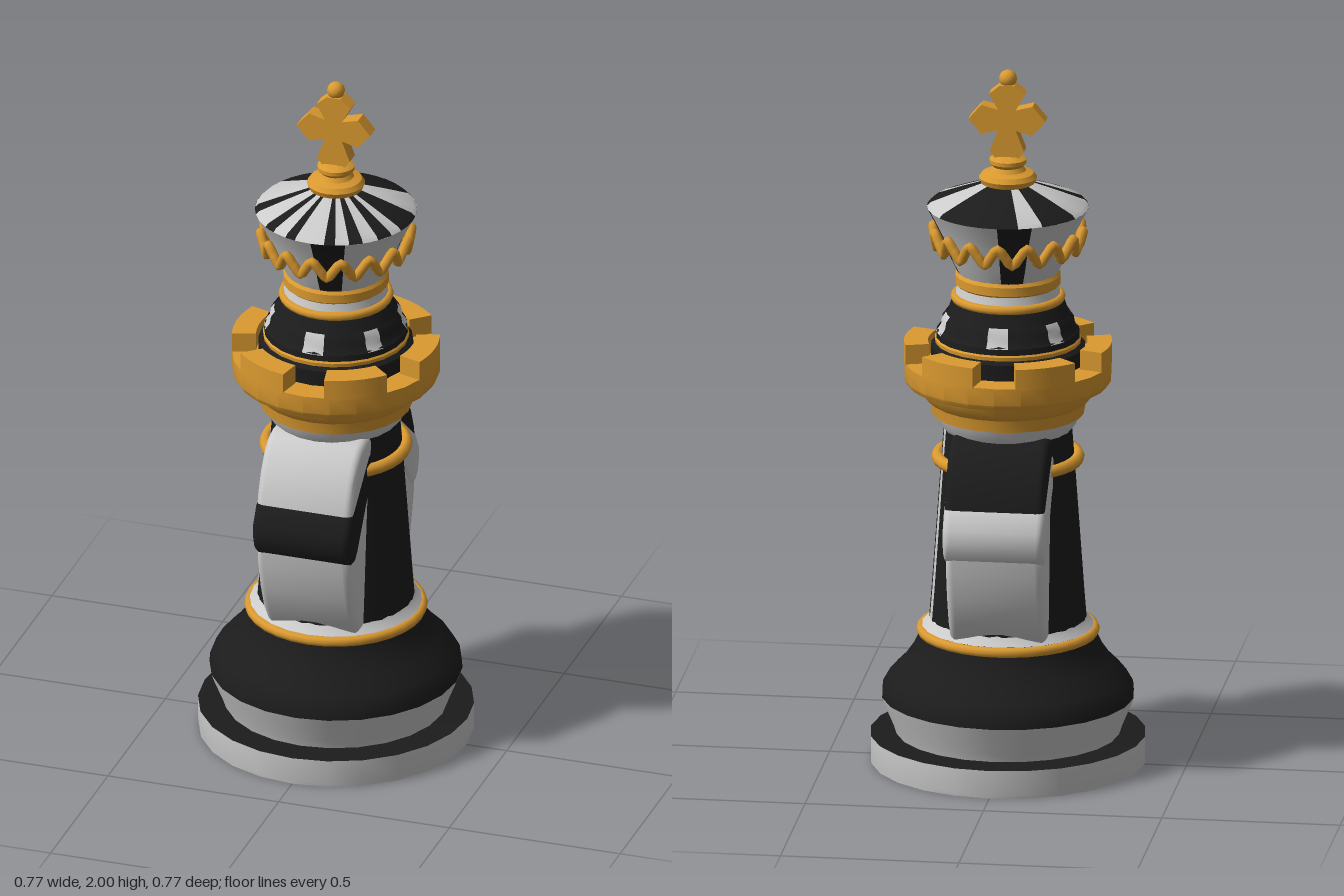
import * as THREE from 'three';
import { toCreasedNormals } from 'three/addons/utils/BufferGeometryUtils.js';

const SIDES = 24;
const RAD = Math.PI / 180;
const mat = (color) => new THREE.MeshStandardMaterial({ color, side: THREE.DoubleSide });
const LIGHT = mat(0xcccccc);
const BLACK = mat(0x1c1c1c);
const GOLD = mat(0xdb9a30);

export function createModel() {
  const model = new THREE.Group();

  const add = (name, geometry, material, parent = model) => {
    const mesh = new THREE.Mesh(geometry, material);
    mesh.name = name;
    parent.add(mesh);
    return mesh;
  };

  // Turned part; profile is [radius, height] from bottom to top, angles in degrees
  const turn = (name, profile, material, from = 0, to = 360) => {
    const points = profile.map(([r, y]) => new THREE.Vector2(r, y));
    const sides = to - from === 360 ? SIDES : Math.max(1, Math.round((to - from) / 10));
    const lathe = new THREE.LatheGeometry(points, sides, from * RAD, (to - from) * RAD);
    return add(name, toCreasedNormals(lathe, 0.55), material);
  };

  // Sectors of a turned part in alternating colours, starting with light
  const striped = (name, profile, edges) => {
    for (let i = 0; i < edges.length - 1; i++) {
      turn(name, profile, i % 2 ? BLACK : LIGHT, edges[i], edges[i + 1]);
    }
  };

  const ring = (name, radius, y, tube) => {
    const torus = new THREE.TorusGeometry(radius, tube, 8, 32).rotateX(Math.PI / 2);
    add(name, torus, GOLD).position.y = y;
  };

  // Base
  turn('baseUnderside', [[0, 0], [0.382, 0]], BLACK);
  turn('baseRim', [[0.382, 0], [0.384, 0.01], [0.384, 0.08]], LIGHT);
  turn('baseTop', [[0.384, 0.08], [0.3, 0.085]], BLACK);
  turn('baseCollar', [[0.31, 0.08], [0.32, 0.11], [0.345, 0.17], [0.352, 0.19]], LIGHT);
  turn('baseBell', [[0.352, 0.19], [0.35, 0.215], [0.33, 0.25], [0.29, 0.29],
    [0.262, 0.33], [0.248, 0.36], [0.24, 0.39], [0.21, 0.4]], BLACK);
  ring('lowerRing', 0.24, 0.38, 0.015);

  // Column with two narrow light stripes
  turn('columnFoot', [[0.24, 0.395], [0.225, 0.41], [0.218, 0.42]], LIGHT);
  striped('column', [[0.22, 0.4], [0.212, 0.5], [0.185, 0.88], [0.178, 0.97]],
    [-75, -67, 105, 113, 285]);
  turn('columnTop', [[0.178, 0.965], [0.19, 0.98], [0.2, 1.01]], LIGHT);
  ring('upperRing', 0.195, 0.88, 0.018);

  // Animal heads on front and back: slabs cut from side outlines [z, y]
  const slab = (name, outline, halfWidth, material, parent) => {
    const bevel = 0.022;
    const shape = new THREE.Shape(outline.map(([z, y]) => new THREE.Vector2(z, y)));
    const geometry = new THREE.ExtrudeGeometry(shape, {
      depth: 2 * (halfWidth - bevel), bevelSize: bevel, bevelThickness: bevel,
      bevelOffset: -bevel, bevelSegments: 4,
    });
    geometry.translate(0, 0, bevel - halfWidth).rotateY(-Math.PI / 2);
    add(name, toCreasedNormals(geometry, 0.75), material, parent);
  };
  [['frontHead', 0, LIGHT, BLACK], ['backHead', Math.PI, BLACK, LIGHT]].forEach(
    ([name, angle, browColor, muzzleColor]) => {
      const head = new THREE.Group();
      head.name = name;
      head.rotation.y = angle;
      model.add(head);
      slab('chest', [[0.05, 0.4], [0.2, 0.4], [0.235, 0.45], [0.267, 0.53], [0.288, 0.61],
        [0.297, 0.68], [0.2, 0.8], [0.05, 0.85]], 0.137, LIGHT, head);
      slab('brow', [[0.05, 0.85], [0.2, 0.78], [0.29, 0.77], [0.279, 0.83], [0.254, 0.89],
        [0.22, 0.94], [0.185, 0.967], [0.14, 0.978], [0.05, 0.97]], 0.14, browColor, head);
      slab('muzzle', [[0.06, 0.84], [0.13, 0.8], [0.225, 0.665], [0.25, 0.643], [0.28, 0.645],
        [0.305, 0.67], [0.317, 0.71], [0.314, 0.75], [0.285, 0.8], [0.13, 0.93],
        [0.06, 0.93]], 0.143, muzzleColor, head);
    });

  // Tower collar with six battlements
  turn('towerCollar', [[0.17, 1.005], [0.212, 1.01], [0.218, 1.045], [0.235, 1.06],
    [0.245, 1.085], [0.28, 1.095], [0.289, 1.11], [0.289, 1.16], [0.21, 1.16]], GOLD);
  for (let i = 0; i < 6; i++) {
    const start = (60 * i - 18) * RAD;
    const end = (60 * i + 18) * RAD;
    const arc = new THREE.Shape();
    arc.absarc(0, 0, 0.289, start, end, false);
    arc.absarc(0, 0, 0.222, end, start, true);
    const block = new THREE.ExtrudeGeometry(arc, { depth: 0.06, bevelEnabled: false, curveSegments: 4 });
    block.rotateX(-Math.PI / 2).translate(0, 1.156, 0);
    add('battlement', toCreasedNormals(block, 0.6), GOLD);
  }

  // Neck
  turn('neckFoot', [[0.215, 1.15], [0.215, 1.205], [0.202, 1.215]], BLACK);
  turn('neckBand', [[0.202, 1.21], [0.204, 1.225], [0.198, 1.232]], GOLD);
  turn('neck', [[0.2, 1.23], [0.198, 1.25], [0.182, 1.265], [0.18, 1.285], [0.168, 1.3],
    [0.16, 1.325], [0.145, 1.345]], BLACK);
  striped('neckTrim', [[0.199, 1.247], [0.186, 1.265], [0.183, 1.285], [0.172, 1.3]],
    [-10, 8, 45, 60, 100, 118, 170, 188, 225, 240, 280, 298, 350]);
  ring('neckRing', 0.147, 1.345, 0.013);
  turn('throat', [[0.15, 1.345], [0.145, 1.36], [0.138, 1.39]], LIGHT);
  turn('crownBand', [[0.135, 1.375], [0.147, 1.385], [0.147, 1.41], [0.14, 1.42]], GOLD);

  // Crown wall and striped cap
  striped('crownWall', [[0.138, 1.415], [0.16, 1.46], [0.187, 1.53], [0.212, 1.58], [0.225, 1.605]],
    [-65, 0, 25, 90, 115, 180, 205, 270, 295]);
  striped('crownCap', [[0.225, 1.605], [0.215, 1.615], [0.14, 1.645], [0.06, 1.675], [0, 1.68]],
    [-12, 10, 18, 28, 38, 50, 62, 72, 97, 130, 195, 213, 244, 285, 297, 318, 328, 340, 348]);

  // Zigzag garland around the crown
  const wave = [];
  for (let i = 0; i < 64; i++) {
    const a = (i / 64) * Math.PI * 2;
    const s = Math.cos(a * 16);
    const r = 0.204 + 0.006 * s;
    wave.push(new THREE.Vector3(r * Math.sin(a), 1.515 + 0.026 * s, r * Math.cos(a)));
  }
  add('garland', new THREE.TubeGeometry(new THREE.CatmullRomCurve3(wave, true), 192, 0.014, 8, true), GOLD);

  // Finial, cross and ball
  turn('finial', [[0.055, 1.665], [0.075, 1.675], [0.081, 1.69], [0.072, 1.703], [0.05, 1.71],
    [0.042, 1.722], [0.052, 1.732], [0.052, 1.743], [0.035, 1.753], [0, 1.755]], GOLD);
  const half = [[0.03, -0.115], [0.048, -0.09], [0.025, -0.03], [0.072, -0.042], [0.108, 0],
    [0.072, 0.042], [0.025, 0.03], [0.05, 0.075], [0.02, 0.1]];
  const outline = [...half, ...half.map(([x, y]) => [-x, y]).reverse()];
  const cross = new THREE.ExtrudeGeometry(
    new THREE.Shape(outline.map(([x, y]) => new THREE.Vector2(x, y))),
    { depth: 0.046, bevelEnabled: false });
  add('cross', cross.translate(0, 1.86, -0.023), GOLD);
  add('ball', new THREE.SphereGeometry(0.025, 16, 12), GOLD).position.y = 1.975;

  return model;
}
